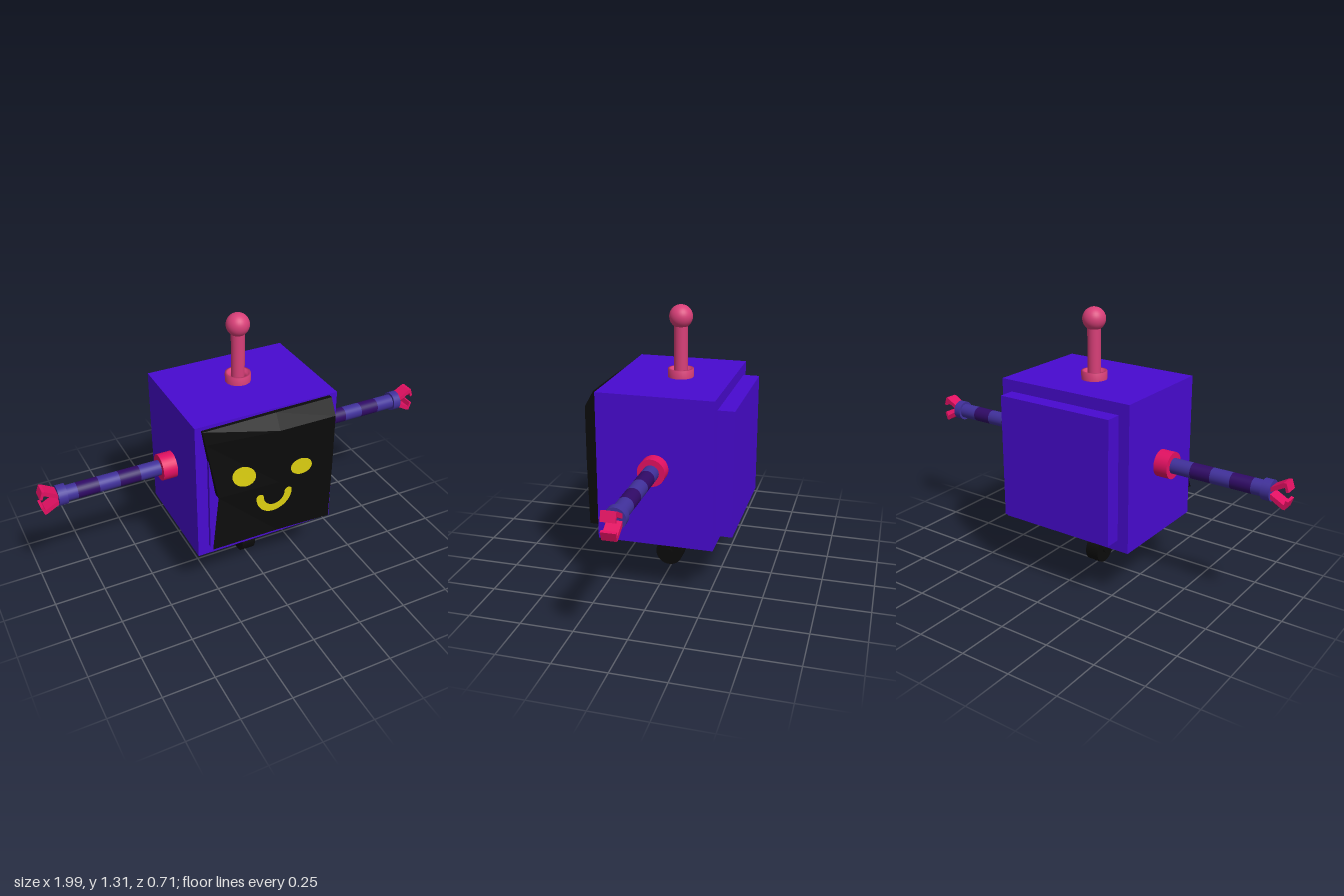
import * as THREE from 'three';

const mat = (name, color, extra = {}) => {
  const m = new THREE.MeshStandardMaterial({ color, ...extra });
  m.name = name;
  return m;
};

export function createModel() {
  const M = {
    body: mat('violet', 0x480ad0),
    black: mat('black', 0x0b0b0b, { side: THREE.DoubleSide, flatShading: true }),
    yellow: mat('yellow', 0xdccf10, { side: THREE.DoubleSide }),
    pink: mat('soft pink', 0xd83f78),
    red: mat('crimson pink', 0xe21062),
    blue: mat('dusty blue', 0x40309a),
    dark: mat('dark purple', 0x300a66),
  };
  const model = new THREE.Group();
  const add = (parent, name, geo, m, x = 0, y = 0, z = 0) => {
    const mesh = new THREE.Mesh(geo, m);
    mesh.name = name;
    mesh.position.set(x, y, z);
    parent.add(mesh);
    return mesh;
  };
  const box = (name, x0, x1, y0, y1, z0, z1) =>
    add(model, name, new THREE.BoxGeometry(x1 - x0, y1 - y0, z1 - z0), M.body,
      (x0 + x1) / 2, (y0 + y1) / 2, (z0 + z1) / 2);
  const cyl = (r, h, r2 = r) => new THREE.CylinderGeometry(r, r2, h, 32);

  // Body with raised plates on the back and behind the screen
  box('body', -0.355, 0.355, 0.264, 0.973, -0.28, 0.265);
  box('backPanel', -0.3, 0.3, 0.317, 0.917, -0.358, -0.28);
  box('screenBacking', -0.3, 0.3, 0.312, 0.9, 0.265, 0.282);

  // Warped screen: rows of left, middle and right points, lower left corner peeling away
  const rows = [
    [[-0.325, 0.955, 0.28], [0.03, 0.963, 0.285], [0.315, 0.966, 0.285]],
    [[-0.315, 0.89, 0.288], [0.03, 0.89, 0.327], [0.315, 0.89, 0.327]],
    [[-0.27, 0.61, 0.315], [0.03, 0.61, 0.327], [0.315, 0.61, 0.327]],
    [[-0.32, 0.36, 0.355], [0.03, 0.327, 0.322], [0.315, 0.314, 0.32]],
  ];
  const pos = [];
  const quad = (a, b, c, d) => pos.push(...a, ...b, ...c, ...a, ...c, ...d);
  const back = (p) => [p[0], p[1], 0.264];
  for (let r = 0; r < 3; r++) {
    for (let c = 0; c < 2; c++) quad(rows[r][c], rows[r + 1][c], rows[r + 1][c + 1], rows[r][c + 1]);
    quad(rows[r][2], rows[r + 1][2], back(rows[r + 1][2]), back(rows[r][2]));
    if (r < 2) quad(rows[r + 1][0], rows[r][0], back(rows[r][0]), back(rows[r + 1][0]));
  }
  for (let c = 0; c < 2; c++) quad(rows[0][c], rows[0][c + 1], back(rows[0][c + 1]), back(rows[0][c]));
  quad(rows[3][1], back(rows[3][1]), back(rows[3][2]), rows[3][2]);
  const screen = new THREE.BufferGeometry();
  screen.setAttribute('position', new THREE.Float32BufferAttribute(pos, 3));
  screen.computeVertexNormals();
  add(model, 'screen', screen, M.black);

  // Depth of the screen at a point, used to drape the painted face
  const lerp = THREE.MathUtils.lerp;
  const depth = (x, y) => {
    const r = y > 0.89 ? 0 : y > 0.61 ? 1 : 2;
    const at = (c) => {
      const a = rows[r][c], b = rows[r + 1][c], t = (y - a[1]) / (b[1] - a[1]);
      return [lerp(a[0], b[0], t), lerp(a[2], b[2], t)];
    };
    const c = x > 0.03 ? 1 : 0;
    const p = at(c), q = at(c + 1);
    return lerp(p[1], q[1], (x - p[0]) / (q[0] - p[0]));
  };
  const paint = (name, shape) => {
    const geo = new THREE.ShapeGeometry(shape, 32);
    const p = geo.attributes.position;
    for (let i = 0; i < p.count; i++) p.setZ(i, depth(p.getX(i), p.getY(i)) + 0.006);
    geo.computeVertexNormals();
    add(model, name, geo, M.yellow);
  };
  const ellipse = (x, y, rx, ry, tilt) =>
    new THREE.Shape().absellipse(x, y, rx, ry, 0, Math.PI * 2, false, tilt);
  paint('rightEye', ellipse(-0.145, 0.693, 0.06, 0.05, -0.6));
  paint('leftEye', ellipse(0.143, 0.67, 0.056, 0.043, -0.2));

  // Smile: a band along a lower half circle with round ends
  const smile = new THREE.Shape();
  smile.absarc(0.005, 0.553, 0.092, Math.PI, Math.PI * 2, false);
  smile.absarc(0.078, 0.553, 0.019, 0, Math.PI, false);
  smile.absarc(0.005, 0.553, 0.054, Math.PI * 2, Math.PI, true);
  smile.absarc(-0.068, 0.553, 0.019, 0, Math.PI, false);
  paint('smile', smile);

  // Antenna
  const az = -0.037;
  const ring = [[0.03, 0.97], [0.03, 0.995], [0.046, 0.998], [0.05, 1.012], [0.061, 1.012], [0.061, 0.97]]
    .map(([r, y]) => new THREE.Vector2(r, y)).reverse();
  add(model, 'antennaBase', new THREE.LatheGeometry(ring, 32), M.pink, 0, 0, az);
  add(model, 'antennaStem', cyl(0.032, 0.26), M.pink, 0, 1.1, az);
  add(model, 'antennaBall', new THREE.SphereGeometry(0.055, 32, 20), M.pink, 0, 1.257, az);

  // Neck, axle post and wheel
  add(model, 'neckCollar', cyl(0.059, 0.06), M.blue, 0.005, 0.235, 0.014);
  add(model, 'neckTaper', cyl(0.055, 0.018, 0.044), M.blue, 0.005, 0.197, 0.014);
  add(model, 'wheelPost', cyl(0.025, 0.1), M.pink, 0.005, 0.15, 0.013);
  const wheelMat = mat('wheel black', 0x0b0b0b);
  add(model, 'wheel', cyl(0.067, 0.07), wheelMat, 0.005, 0.067, 0.011).rotation.z = Math.PI / 2;
  add(model, 'wheelHub', cyl(0.018, 0.09), wheelMat, 0.005, 0.07, 0.011).rotation.z = Math.PI / 2;

  // Claw finger outline: spreads outward, then hooks back in
  const finger = new THREE.Shape([
    [0, 0.004], [0.066, 0.04], [0.073, 0.018], [0.085, 0.022], [0.071, 0.062], [0.058, 0.06], [0, 0.026],
  ].map(([x, y]) => new THREE.Vector2(x, y)));
  const fingerGeo = new THREE.ExtrudeGeometry(finger, { depth: 0.064, bevelEnabled: false });
  fingerGeo.translate(0, 0, -0.032);

  // Arms point along +x in their own group; the right one is turned around
  const arm = (name, side, y, stops, cuffEnd) => {
    const g = new THREE.Group();
    g.name = name;
    g.position.set(0, y, -0.01);
    if (side < 0) g.rotation.y = Math.PI;
    model.add(g);
    const along = (part, r, x0, x1, m) => {
      add(g, part, cyl(r, x1 - x0), m, (x0 + x1) / 2).rotation.z = Math.PI / 2;
    };
    along('shoulder', 0.064, 0.35, stops[0], M.red);
    for (let i = 0; i + 1 < stops.length; i++)
      along('armBand', 0.037, stops[i], stops[i + 1], i % 2 ? M.dark : M.blue);
    along('wristCuff', 0.048, stops[stops.length - 1], cuffEnd, M.blue);
    add(g, 'upperFinger', fingerGeo, M.red, cuffEnd - 0.002);
    add(g, 'lowerFinger', fingerGeo, M.red, cuffEnd - 0.002).rotation.x = Math.PI;
  };
  arm('leftArm', 1, 0.64, [0.415, 0.48, 0.58, 0.675, 0.772, 0.866], 0.905);
  arm('rightArm', -1, 0.622, [0.425, 0.527, 0.627, 0.725, 0.826, 0.876], 0.917);

  return model;
}
